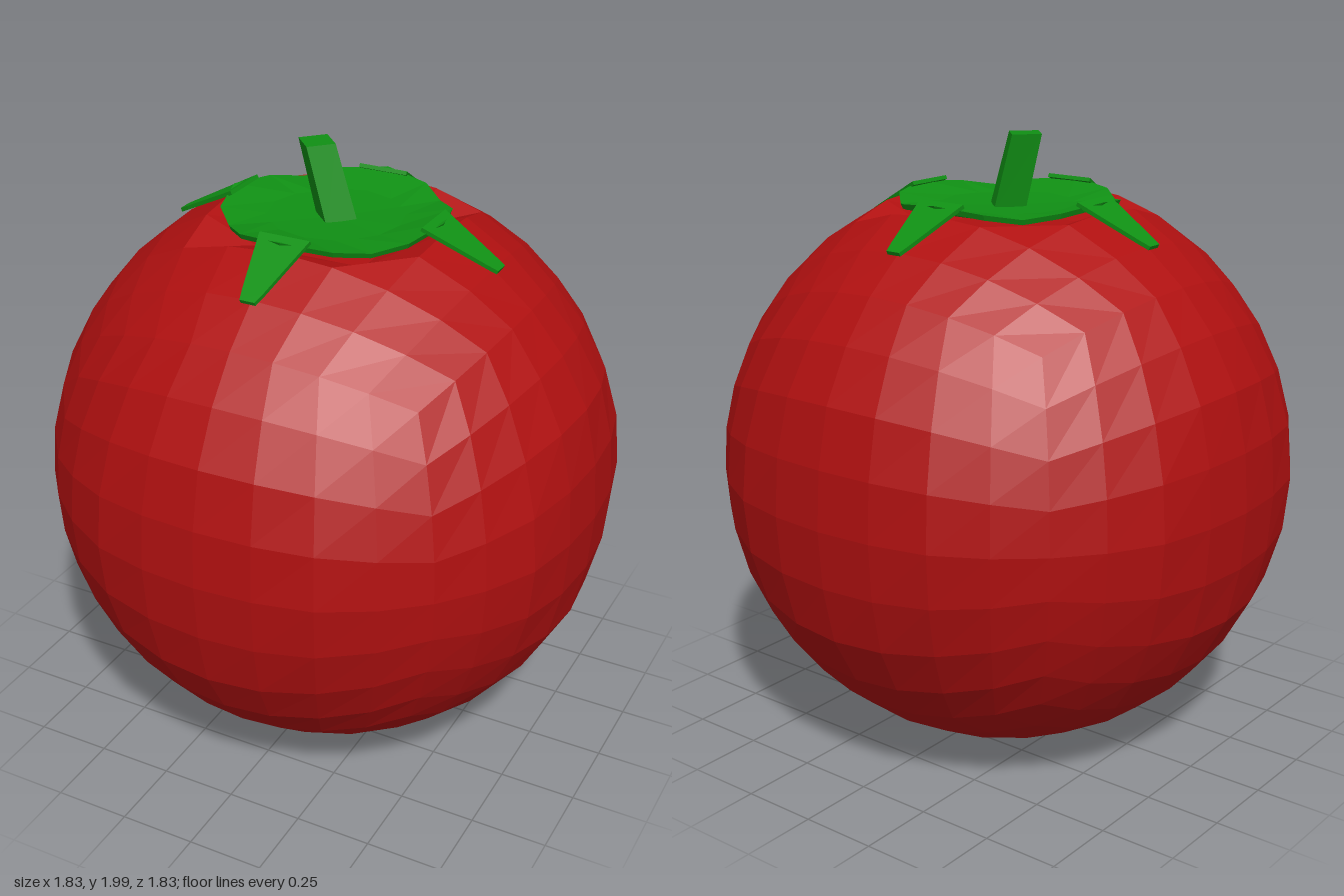
import * as THREE from 'three';

const flat = (g) => {
  const out = g.index ? g.toNonIndexed() : g;
  out.computeVertexNormals();
  return out;
};

// Move every vertex of a geometry by a rule
function warp(geometry, rule) {
  const pos = geometry.attributes.position;
  const v = new THREE.Vector3();
  for (let i = 0; i < pos.count; i++) {
    rule(v.fromBufferAttribute(pos, i));
    pos.setXYZ(i, v.x, v.y, v.z);
  }
  return flat(geometry);
}

export function createModel() {
  const red = new THREE.MeshStandardMaterial({ color: 0xb01010 });
  red.name = 'tomato red';
  const green = new THREE.MeshStandardMaterial({ color: 0x109014 });
  green.name = 'leaf green';

  const model = new THREE.Group();
  model.name = 'tomato';
  const add = (name, geometry, material, parent = model) => {
    const mesh = new THREE.Mesh(geometry, material);
    mesh.name = name;
    parent.add(mesh);
    return mesh;
  };

  // Fruit: subdivided cube rounded into a ball, dented under the leaves
  const spread = (c) => c * (0.82 + 0.18 * c * c);
  add('fruit', warp(new THREE.BoxGeometry(2, 2, 2, 8, 8, 8), (v) => {
    const dent = v.y > 0.99 && Math.abs(v.x) < 0.4 && Math.abs(v.z) < 0.4;
    v.set(spread(v.x), spread(v.y), spread(v.z)).normalize();
    const m = Math.max(Math.abs(v.x), Math.abs(v.y), Math.abs(v.z));
    v.multiplyScalar(0.936 - 0.022 * Math.max(0, (m - 0.92) / 0.08));
    v.y += 0.922;
    if (dent) v.y = 1.7;
  }), red);

  // Calyx: shallow dish whose rim rises above each leaf
  const calyx = new THREE.Group();
  calyx.name = 'calyx';
  model.add(calyx);
  const profile = [[0, 1.735], [0.2, 1.75], [0.36, 1.792], [0.367, 1.81], [0.22, 1.775], [0, 1.765]]
    .map(([x, y]) => new THREE.Vector2(x, y));
  add('calyxDish', warp(new THREE.LatheGeometry(profile, 16), (v) => {
    const r = Math.hypot(v.x, v.z);
    const a = Math.atan2(v.z, v.x);
    const s = Math.sin(2 * a) ** 2;
    const b = a + 0.06 * Math.sin(4 * a);
    const r2 = r * (1 - 0.06 * s * s);
    const edge = Math.max(0, (r - 0.2) / 0.167);
    v.set(r2 * Math.cos(b), v.y - 0.033 * s * edge, r2 * Math.sin(b));
  }), green, calyx);

  // Four pointed leaves drooping over the fruit
  const outline = new THREE.Shape([[-0.03, -0.085], [0.19, -0.035], [0.226, -0.025],
    [0.226, 0.025], [0.19, 0.035], [-0.03, 0.085]].map(([x, y]) => new THREE.Vector2(x, y)));
  const leaf = flat(new THREE.ExtrudeGeometry(outline, { depth: 0.013, bevelEnabled: false })
    .rotateX(-Math.PI / 2).rotateZ(-0.48).translate(0.352, 1.793, 0));
  for (let i = 0; i < 4; i++) {
    add('leaf', leaf, green, calyx).rotation.y = i * Math.PI / 2;
  }

  // Stem: square stalk leaning to one side
  add('stem', warp(new THREE.CylinderGeometry(0.068, 0.072, 0.25, 4).translate(0, 1.875, 0), (v) => {
    v.x -= 0.3 * (v.y - 1.765);
    v.x *= v.y > 1.9 ? 0.95 : 1;
  }), green);

  return model;
}
